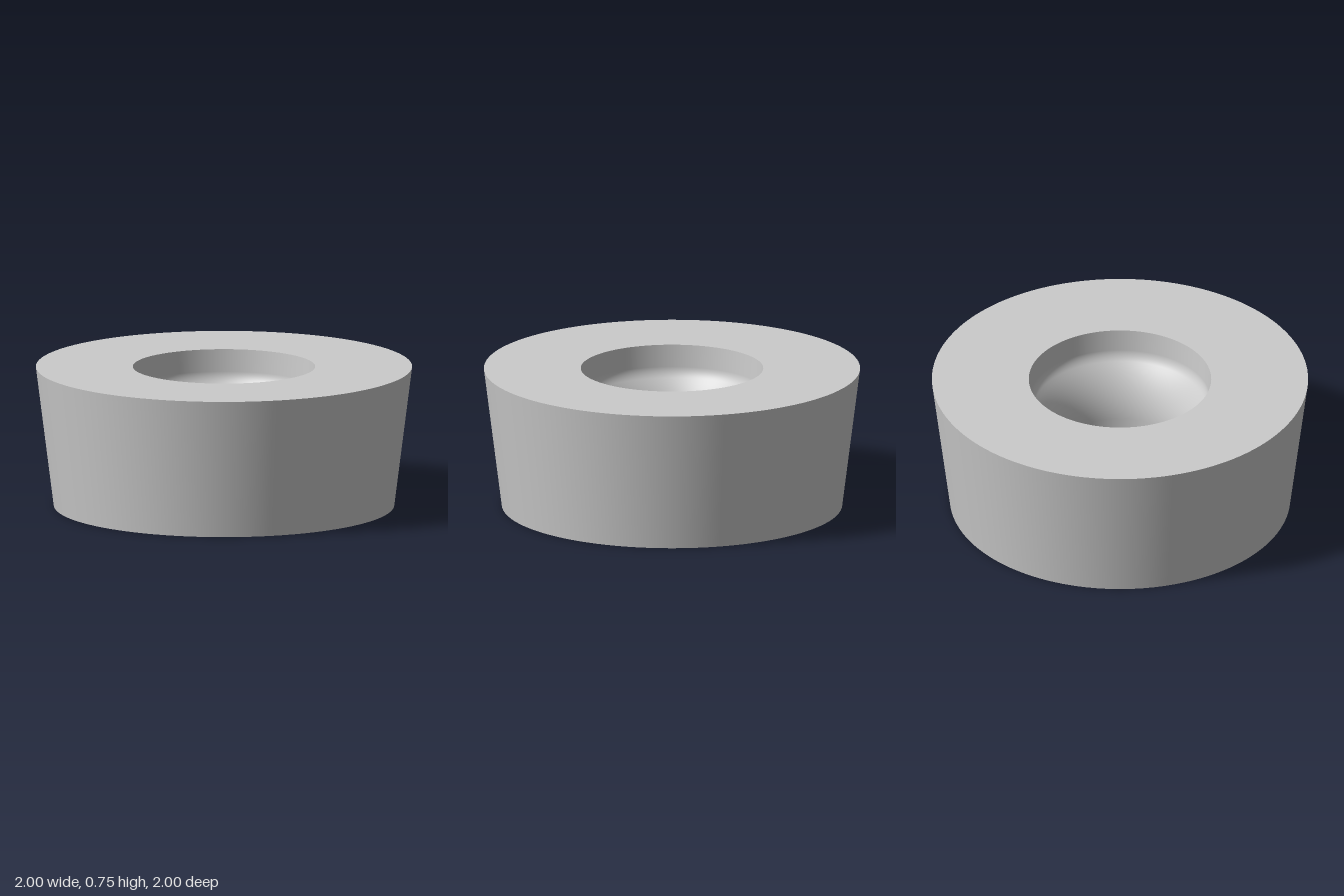
import * as THREE from 'three';

const HEIGHT = 0.75;
const TOP_R = 1, BOTTOM_R = 0.905;
const MOUTH_R = 0.485, BORE_R = 0.35;

// Profile of the stepped hole, from the mouth down to the underside
function holeProfile() {
  const path = new THREE.Path();
  path.moveTo(MOUTH_R, HEIGHT);
  path.lineTo(0.478, 0.63);
  // soft inner corner below the straight mouth
  path.quadraticCurveTo(0.476, 0.6, 0.455, 0.573);
  // flared seat easing into the straight bore
  path.quadraticCurveTo(BORE_R, 0.44, BORE_R, 0.28);
  path.lineTo(BORE_R, 0);
  return path.getPoints(14);
}

export function createModel() {
  const group = new THREE.Group();
  group.name = 'taperedRing';
  const material = new THREE.MeshStandardMaterial({ color: 0xcccccc });

  // Separate surfaces of revolution keep the rims sharp
  const addSurface = (name, points) => {
    const mesh = new THREE.Mesh(new THREE.LatheGeometry(points, 128), material);
    mesh.name = name;
    group.add(mesh);
  };
  const p = (r, y) => new THREE.Vector2(r, y);

  addSurface('outerWall', [p(BOTTOM_R, 0), p(TOP_R, HEIGHT)]);
  addSurface('topFace', [p(TOP_R, HEIGHT), p(MOUTH_R, HEIGHT)]);
  addSurface('countersunkHole', holeProfile());
  addSurface('bottomFace', [p(BORE_R, 0), p(BOTTOM_R, 0)]);

  return group;
}
